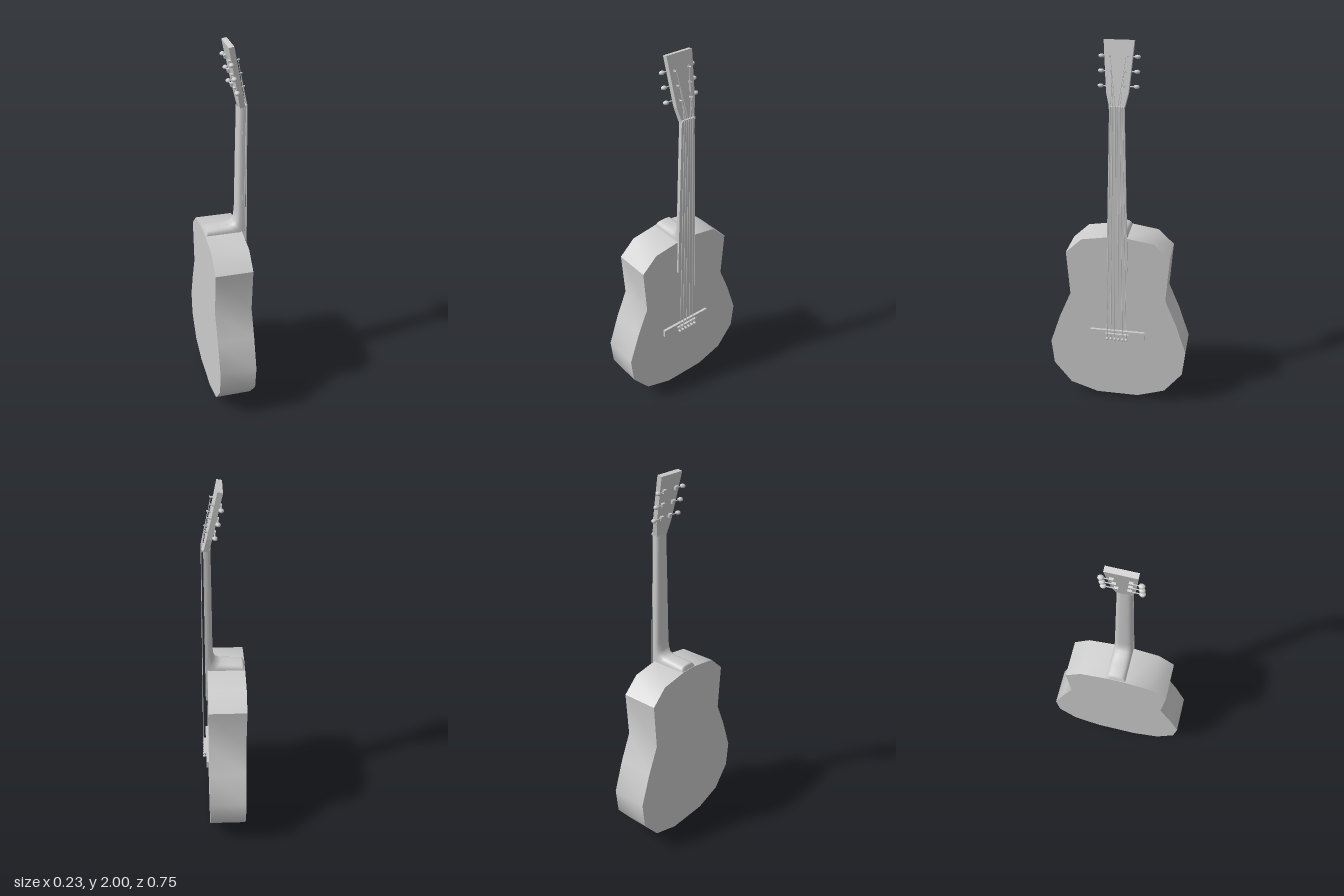
import * as THREE from 'three';
import { toCreasedNormals } from 'three/addons/utils/BufferGeometryUtils.js';

const grey = new THREE.MeshStandardMaterial({ color: 0xcccccc, side: THREE.DoubleSide });

function add(parent, name, geometry, x = 0, y = 0, z = 0) {
  const mesh = new THREE.Mesh(geometry, grey);
  mesh.name = name;
  mesh.position.set(x, y, z);
  parent.add(mesh);
  return mesh;
}

// Closed outline from its right half, listed bottom to top
function mirrored(half) {
  const left = half.map(([u, y]) => [-u, y]).reverse();
  return [...half, ...left].map(([u, y]) => new THREE.Vector2(u, y));
}

// Outline in the z-y plane, thickened from x0 to x1
function slab(points, x0, x1) {
  const g = new THREE.ExtrudeGeometry(new THREE.Shape(points), { depth: x1 - x0, bevelEnabled: false });
  return g.rotateY(Math.PI / 2).translate(x0, 0, 0);
}

// Cylinder running between two points
function rod(a, b, r0, r1 = r0, sides = 6) {
  const dir = b.clone().sub(a);
  const g = new THREE.CylinderGeometry(r1, r0, dir.length(), sides);
  const q = new THREE.Quaternion().setFromUnitVectors(new THREE.Vector3(0, 1, 0), dir.normalize());
  const mid = a.clone().add(b).multiplyScalar(0.5);
  return g.applyQuaternion(q).translate(mid.x, mid.y, mid.z);
}

const V = (x, y, z) => new THREE.Vector3(x, y, z);

function buildBody(parent) {
  const back = -0.115, front = 0.081;
  const outline = mirrored([
    [0.115, 0.03], [0.265, 0.08], [0.36, 0.2], [0.375, 0.34], [0.318, 0.51],
    [0.257, 0.655], [0.275, 0.9], [0.19, 0.98], [0.04, 1.004],
  ]);

  // Bent side wall
  const pos = [];
  outline.forEach((a, i) => {
    const b = outline[(i + 1) % outline.length];
    const aB = [back, a.y, -a.x], aF = [front, a.y, -a.x];
    const bB = [back, b.y, -b.x], bF = [front, b.y, -b.x];
    pos.push(...aB, ...bB, ...bF, ...aB, ...bF, ...aF);
  });
  const wall = new THREE.BufferGeometry();
  wall.setAttribute('position', new THREE.Float32BufferAttribute(pos, 3));
  add(parent, 'bodySide', toCreasedNormals(wall, Math.PI / 4));

  // Soundboard with eight-sided sound hole
  const top = new THREE.Shape(outline);
  const hole = [];
  for (let i = 0; i < 8; i++) {
    const t = i * Math.PI / 4;
    hole.push(new THREE.Vector2(0.093 * Math.cos(t), 0.708 + 0.093 * Math.sin(t)));
  }
  top.holes.push(new THREE.Path(hole));
  add(parent, 'soundboard', new THREE.ShapeGeometry(top).rotateY(Math.PI / 2), front);
  add(parent, 'bodyBack', new THREE.ShapeGeometry(new THREE.Shape(outline)).rotateY(-Math.PI / 2), back);

  // Strap pin under the body
  const pin = [[0, 0], [0.009, 0], [0.013, 0.005], [0.011, 0.012], [0.006, 0.018], [0.006, 0.032]];
  add(parent, 'strapPin', new THREE.LatheGeometry(pin.map(p => new THREE.Vector2(...p)), 10), -0.018);
}

function buildNeck(parent) {
  // Stations: back point x, y; base point x, y; half width
  const stations = [
    [0.058, 1.69, 0.083, 1.69, 0.037], [0.055, 1.4, 0.083, 1.4, 0.043],
    [0.053, 1.11, 0.083, 1.1, 0.049], [0.048, 1.07, 0.083, 1.05, 0.05],
    [0.036, 1.047, 0.083, 1.01, 0.051], [0.01, 1.038, 0.06, 0.995, 0.051],
    [-0.04, 1.034, -0.04, 0.995, 0.051], [-0.1, 1.031, -0.1, 0.995, 0.051],
    [-0.107, 1.024, -0.108, 0.995, 0.051], [-0.115, 0.996, -0.115, 0.995, 0.05],
  ];
  const n = 12, pos = [], index = [];
  stations.forEach(([ox, oy, bx, by, w], i) => {
    for (let j = 0; j <= n; j++) {
      const t = j * Math.PI / n;
      const s = Math.pow(Math.sin(t), 0.7), c = Math.cos(t);
      const z = w * Math.sign(c) * Math.pow(Math.abs(c), 0.7);
      pos.push(bx + (ox - bx) * s, by + (oy - by) * s, z);
      if (i < stations.length - 1 && j < n) {
        const a = i * (n + 1) + j, b = a + n + 1;
        index.push(a, a + 1, b + 1, a, b + 1, b);
      }
    }
  });
  const neck = new THREE.BufferGeometry();
  neck.setAttribute('position', new THREE.Float32BufferAttribute(pos, 3));
  neck.setIndex(index);
  neck.computeVertexNormals();
  add(parent, 'neckAndHeel', neck);

  add(parent, 'fingerboard', slab(mirrored([[0.056, 0.81], [0.037, 1.69]]), 0.08, 0.092));
  add(parent, 'nut', new THREE.BoxGeometry(0.014, 0.01, 0.074), 0.094, 1.692, 0);
}

const pegs = [[0.098, 0.03], [0.168, 0.036], [0.237, 0.042]]; // height, offset from centre

function buildHeadstock(parent) {
  const head = new THREE.Group();
  head.name = 'headstock';
  head.position.set(0.078, 1.69, 0);
  head.rotation.z = 0.207;
  parent.add(head);
  add(head, 'headPlate', slab(mirrored([[0.037, -0.003], [0.054, 0.07], [0.07, 0.27], [0.073, 0.313]]), -0.013, 0.013));

  // Three tuners on each side
  for (const side of [1, -1]) {
    for (const [y, z] of pegs) {
      add(head, 'tunerPost', rod(V(-0.01, y, side * z), V(0.032, y, side * z), 0.005, 0.004, 8));
      add(head, 'tunerCollar', rod(V(0.012, y, side * z), V(0.017, y, side * z), 0.008, 0.008, 8));
      add(head, 'tunerGear', new THREE.BoxGeometry(0.012, 0.018, 0.02), -0.018, y, side * z);
      add(head, 'tunerShaft', rod(V(-0.02, y, side * z), V(-0.02, y, side * 0.08), 0.003));
      add(head, 'tunerKnob', new THREE.SphereGeometry(1, 10, 8), -0.02, y, side * 0.087).scale.set(0.013, 0.01, 0.015);
    }
  }
  head.updateMatrix();
  return head.matrix;
}

function buildBridge(parent) {
  add(parent, 'bridge', slab(mirrored([
    [0.03, 0.38], [0.085, 0.39], [0.15, 0.405], [0.15, 0.45],
  ]), 0.08, 0.095));
  add(parent, 'saddle', new THREE.BoxGeometry(0.014, 0.008, 0.13), 0.1, 0.432, 0);
}

function buildStrings(parent, headMatrix) {
  for (let i = 0; i < 6; i++) {
    const k = i - 2.5, side = Math.sign(k);
    const r = 0.0022 - i * 0.0002;
    const [py, pz] = pegs[2 - Math.floor(Math.abs(k))];
    const pinZ = -k * 0.021;
    const atPin = V(0.1, 0.41, pinZ);
    const atSaddle = V(0.109, 0.432, pinZ);
    const atNut = V(0.102, 1.694, -k * 0.012);
    const atPost = V(0.025, py, -side * (pz - 0.004)).applyMatrix4(headMatrix);
    add(parent, 'stringEnd', rod(atPin, atSaddle, r));
    add(parent, 'string', rod(atSaddle, atNut, r));
    add(parent, 'stringToTuner', rod(atNut, atPost, r));
    add(parent, 'bridgePin', rod(V(0.09, 0.405, pinZ), V(0.106, 0.405, pinZ), 0.005, 0.006, 8));
    add(parent, 'bridgePinHead', new THREE.SphereGeometry(0.008, 8, 6), 0.106, 0.405, pinZ);
  }
}

export function createModel() {
  const guitar = new THREE.Group();
  guitar.name = 'acousticGuitar';
  buildBody(guitar);
  buildNeck(guitar);
  const headMatrix = buildHeadstock(guitar);
  buildBridge(guitar);
  buildStrings(guitar, headMatrix);
  return guitar;
}
